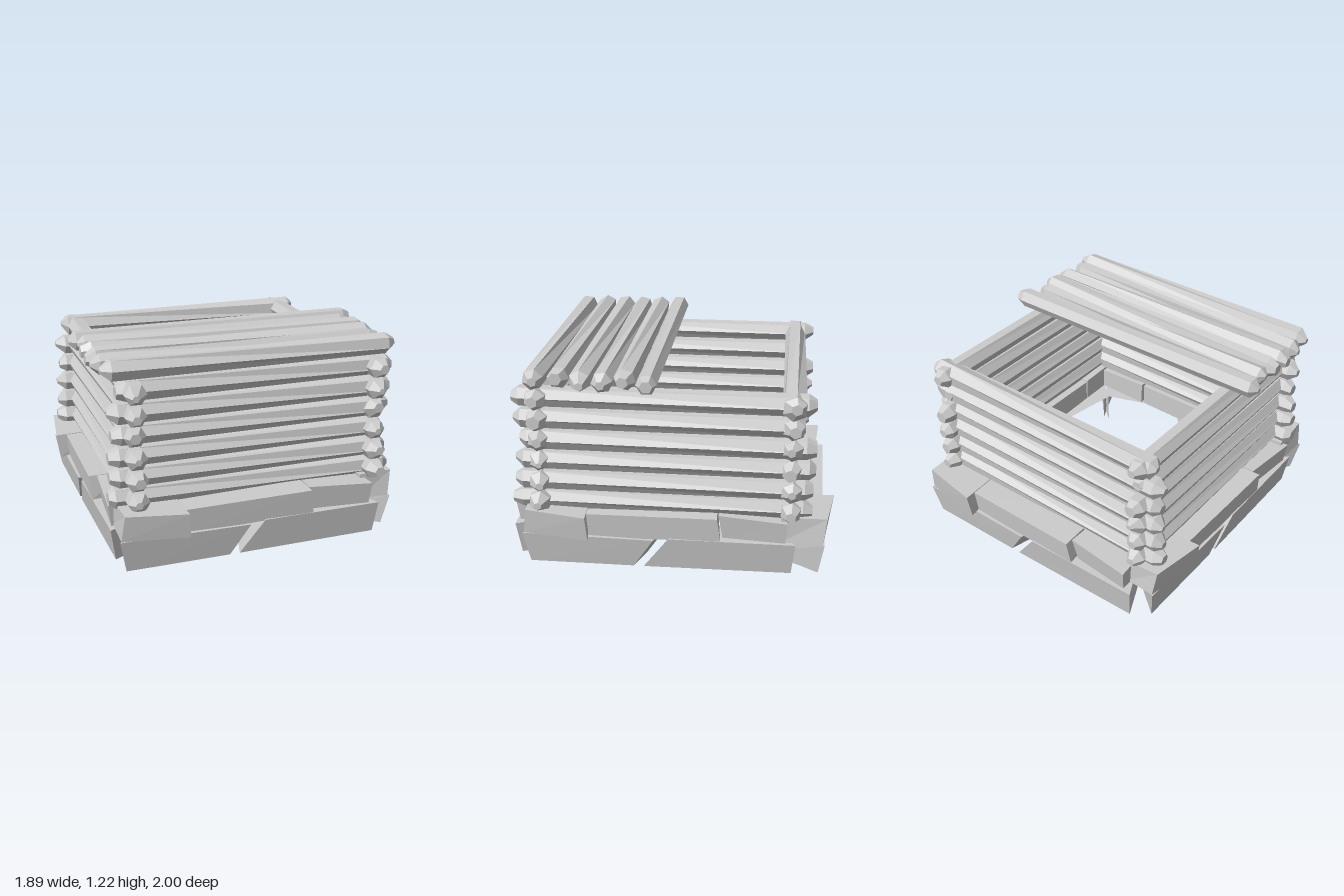
import * as THREE from 'three';

const material = new THREE.MeshStandardMaterial({ color: 0xcccccc, flatShading: true, side: THREE.DoubleSide });

// small repeatable variation in the range -1..1
let seed = 7;
const vary = () => {
  seed = (seed * 16807) % 2147483647;
  return (seed / 2147483647) * 2 - 1;
};

function addMesh(parent, geometry, name) {
  const flat = geometry.toNonIndexed();
  flat.computeVertexNormals();
  const mesh = new THREE.Mesh(flat, material);
  mesh.name = name;
  parent.add(mesh);
  return mesh;
}

// six-sided log from a to b along x, with tapered uneven ends and a twist along its length
function makeLog(parent, name, a, b, radius, twist) {
  const geo = new THREE.CylinderGeometry(1, 1, 1, 6, 3);
  const p = geo.attributes.position;
  const ends = [a, b].map((at, i) => ({
    at,
    taper: (i ? -1 : 1) * (0.05 + 0.012 * vary()),
    tip: 0.42 + 0.2 * vary(),
    girth: radius * (1 + 0.04 * vary()),
    offset: [0.2 * vary(), 0.2 * vary()],
    turn: i ? twist : 0,
  }));
  for (let i = 0; i < p.count; i++) {
    const t = p.getY(i);
    const e = ends[t > 0 ? 1 : 0];
    const isTip = Math.abs(t) > 0.4;
    const size = isTip ? e.tip : 1;
    const c = Math.cos(e.turn), s = Math.sin(e.turn);
    const x = p.getX(i) * size, z = p.getZ(i) * size;
    const [ox, oz] = isTip ? e.offset : [0, 0];
    p.setXYZ(i, (x * c + z * s + ox) * e.girth, e.at + (isTip ? 0 : e.taper), (z * c - x * s + oz) * e.girth);
  }
  geo.rotateZ(-Math.PI / 2);
  return addMesh(parent, geo, name);
}

// rough stone: a box whose eight corners are placed by a rule.
// u = [bottom left, bottom right, top left, top right] on the outer face,
// innerU = the same on the inner face, outer / inner = depths at left and right
function makeStone(parent, name, s, shift) {
  const geo = new THREE.BoxGeometry(1, 1, 1);
  const p = geo.attributes.position;
  for (let i = 0; i < p.count; i++) {
    const right = p.getX(i) > 0 ? 1 : 0;
    const up = p.getY(i) > 0 ? 1 : 0;
    const outer = p.getZ(i) > 0;
    p.setXYZ(i,
      (outer ? s.u : s.innerU)[up * 2 + right],
      (up ? s.top : s.bottom)[right],
      outer ? s.outer[right] - (up ? 0 : s.inset) + shift : s.inner[right]);
  }
  // buried stones are shells: ends, top and outer face only
  if (s.open) {
    const index = [...geo.index.array];
    geo.setIndex([...index.slice(0, 18), ...index.slice(24, 30)]);
  }
  return addMesh(parent, geo, name);
}

const lowerStones = [
  { u: [-0.82, -0.19, -0.86, -0.07], innerU: [-0.58, -0.13, -0.58, 0], inner: [0.56, 0.67],
    outer: [0.94, 0.94], inset: 0.03, bottom: [0, 0], top: [0.2, 0.19], open: true },
  { u: [-0.13, 0.75, 0.02, 0.77], innerU: [-0.08, 0.6, 0.06, 0.6], inner: [0.75, 0.57],
    outer: [0.94, 0.93], inset: 0.03, bottom: [0, 0], top: [0.205, 0.2], open: true },
];

const upperStones = [
  { u: [-0.85, -0.455, -0.83, -0.465], innerU: [-0.84, -0.48, -0.84, -0.48], inner: [0.68, 0.68],
    outer: [0.95, 1.0], inset: 0.02, bottom: [0.2, 0.19], top: [0.36, 0.345] },
  { u: [-0.46, 0.33, -0.48, 0.31], innerU: [-0.47, 0.3, -0.47, 0.3], inner: [0.68, 0.67],
    outer: [0.93, 0.95], inset: 0.015, bottom: [0.18, 0.205], top: [0.34, 0.355] },
  { u: [0.34, 0.71, 0.315, 0.72], innerU: [0.32, 0.7, 0.32, 0.7], inner: [0.67, 0.68],
    outer: [0.9, 0.93], inset: 0.02, bottom: [0.2, 0.195], top: [0.355, 0.335] },
];

export function createModel() {
  const model = new THREE.Group();
  model.name = 'logWell';

  // stone base: the same row of stones turned around the four sides
  const base = new THREE.Group();
  base.name = 'stoneBase';
  model.add(base);
  ['front', 'left', 'back', 'right'].forEach((label, k) => {
    const side = new THREE.Group();
    side.name = label + 'Stones';
    side.rotation.y = k * Math.PI / 2;
    const shift = k % 2 ? -0.057 : 0;
    lowerStones.forEach((s) => makeStone(side, 'lowerStone', s, shift));
    upperStones.forEach((s) => makeStone(side, 'upperStone', s, shift));
    base.add(side);
  });

  // log walls
  const walls = new THREE.Group();
  walls.name = 'logWalls';
  model.add(walls);
  const heights = [0.395, 0.517, 0.645, 0.775, 0.905, 1.037];
  const spanX = [[-0.88, 0.9], [-0.87, 0.88], [-0.87, 0.86], [-0.85, 0.88], [-0.87, 0.87], [-0.82, 0.88]];
  const spanZ = [[-0.86, 0.92], [-0.86, 0.9], [-0.87, 0.9], [-0.87, 0.86], [-0.8, 0.9], [-0.86, 0.9]];
  heights.forEach((y, i) => {
    const isTop = i === heights.length - 1;
    makeLog(walls, 'frontLog', ...spanX[i], 0.066, 0.4).position.set(0, y, 0.75);
    makeLog(walls, 'backLog', ...spanX[i], isTop ? 0.071 : 0.066, 0.4).position.set(0, y, -0.735);
    for (const [name, x] of [['leftLog', 0.765], ['rightLog', -0.725]]) {
      const [z0, z1] = spanZ[i];
      const log = makeLog(walls, name, -z1, -z0, 0.065, 0.12);
      log.rotation.y = Math.PI / 2;
      log.position.set(x, y, 0);
    }
  });

  // half cover of loose logs
  const cover = new THREE.Group();
  cover.name = 'coverLogs';
  model.add(cover);
  const coverSpans = [[-0.94, 0.92], [-0.91, 0.85], [-0.92, 0.9], [-0.92, 0.9], [-0.92, 0.85], [-0.9, 0.9]];
  [0.1, 0.232, 0.355, 0.485, 0.617, 0.755].forEach((z, i) => {
    const log = makeLog(cover, 'coverLog', ...coverSpans[i], 0.064, i ? 0.4 : 0.05);
    log.position.set(0, 1.16, z);
    log.rotation.x = i * 0.4;
  });

  return model;
}
